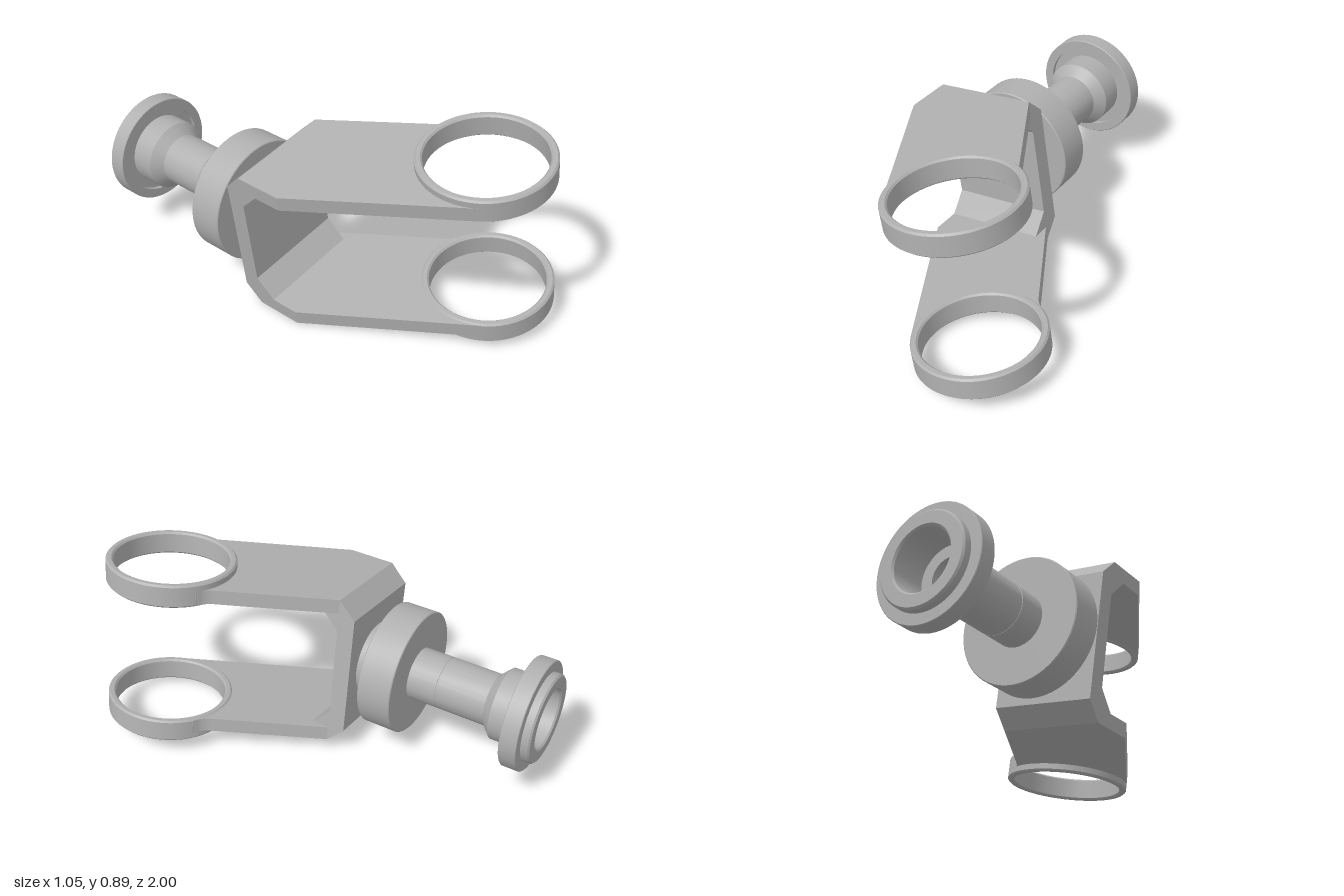
import * as THREE from 'three';
import { toCreasedNormals } from 'three/addons/utils/BufferGeometryUtils.js';

const HALF_W = 0.24;            // half width of the bracket
const RING = { u: 0.417, z: 0.705, r: 0.292, bore: 0.258 };

export function createModel() {
  const metal = new THREE.MeshStandardMaterial({ color: 0xb0b0b0 });
  metal.name = 'grey metal';

  const model = new THREE.Group();
  model.name = 'forkFitting';

  const add = (name, geometry) => {
    const mesh = new THREE.Mesh(geometry, metal);
    mesh.name = name;
    model.add(mesh);
    return mesh;
  };
  const lathe = (profile, segments = 72) => toCreasedNormals(
    new THREE.LatheGeometry(profile.map(([r, y]) => new THREE.Vector2(r, y)), segments), 0.5);

  // Bridge: C-shaped profile (z, y) with outer chamfers and inner gussets
  const upper = [[-0.145, 0.285], [-0.065, 0.364], [-0.065, 0.298], [0.02, 0.298], [-0.065, 0.211]];
  const lower = upper.map(([z, y]) => [z, -y]).reverse();
  const bridgeShape = new THREE.Shape([...upper, ...lower].map(([z, y]) => new THREE.Vector2(z, y)));
  const bridge = new THREE.ExtrudeGeometry(bridgeShape, { depth: 2 * HALF_W, bevelEnabled: false });
  bridge.rotateY(-Math.PI / 2).translate(HALF_W, 0, 0);
  add('bridge', bridge);

  // Arm outline (x, -z): slants sideways and wraps round the ring
  const armShape = new THREE.Shape();
  armShape.moveTo(-HALF_W, 0.065);
  armShape.lineTo(HALF_W, 0.065);
  armShape.lineTo(0.508, -0.4);
  armShape.quadraticCurveTo(0.53, -0.44, 0.575, -0.458);
  armShape.absarc(RING.u, -RING.z, 0.277, 1.0, Math.PI * 7 / 6, false);
  armShape.lineTo(0.164, -0.851);
  armShape.lineTo(-HALF_W, -0.15);
  armShape.closePath();
  const armGeometry = toCreasedNormals(
    new THREE.ExtrudeGeometry(armShape, { depth: 0.066, bevelEnabled: false, curveSegments: 28 })
      .rotateX(-Math.PI / 2), 0.5);

  // Ring with small chamfers on all four edges
  const h = 0.053, c = 0.008;
  const ringGeometry = lathe([
    [RING.bore + c, -h], [RING.r - c, -h], [RING.r, -h + c], [RING.r, h - c], [RING.r - c, h],
    [RING.bore + c, h], [RING.bore, h - c], [RING.bore, -h + c], [RING.bore + c, -h],
  ], 80);

  for (const [side, armY, ringY] of [['upper', 0.298, 0.345], ['lower', -0.364, -0.345]]) {
    add(side + 'Arm', armGeometry).position.y = armY;
    add(side + 'Ring', ringGeometry).position.set(RING.u, ringY, RING.z);
  }

  // Turned parts, profile (radius, distance towards the back)
  const turned = (name, profile) => add(name, lathe(profile).rotateX(-Math.PI / 2));

  turned('collar', [[0, 0.14], [0.172, 0.14], [0.172, 0.172], [0.165, 0.18], [0.165, 0.22]]);
  turned('largeFlange', [[0, 0.215], [0.283, 0.215], [0.287, 0.219], [0.287, 0.371], [0.283, 0.375], [0, 0.375]]);
  turned('shaft', [
    [0.12, 0.37], [0.12, 0.511], [0.118, 0.512], [0.118, 0.515], [0.12, 0.516],
    [0.12, 0.745], [0.165, 0.79], [0.165, 0.905],
  ]);
  turned('endFlange', [
    [0.16, 0.9], [0.21, 0.9], [0.21, 0.88], [0.252, 0.88], [0.255, 0.883], [0.255, 0.957], [0.252, 0.96],
    [0.205, 0.96], [0.205, 0.992], [0.197, 1.0], [0.145, 1.0], [0.137, 0.992], [0.137, 0.83],
    [0.085, 0.83], [0.085, 0.7], [0, 0.7],
  ]);

  // Interlocking lugs on both sides of the shaft
  for (const [name, angle] of [['leftLug', 0], ['rightLug', Math.PI]]) {
    const lug = new THREE.CylinderGeometry(0.1212, 0.1212, 0.085, 8, 1, true, Math.PI / 2 - 0.34 + angle, 0.68);
    lug.rotateX(-Math.PI / 2).translate(0, 0, -0.4695);
    add(name, lug);
  }

  // The whole fitting is rolled about its shaft
  model.rotation.z = 0.145;
  model.position.set(-0.235, 0.398, 0);
  const root = new THREE.Group();
  root.name = 'model';
  root.add(model);
  return root;
}
